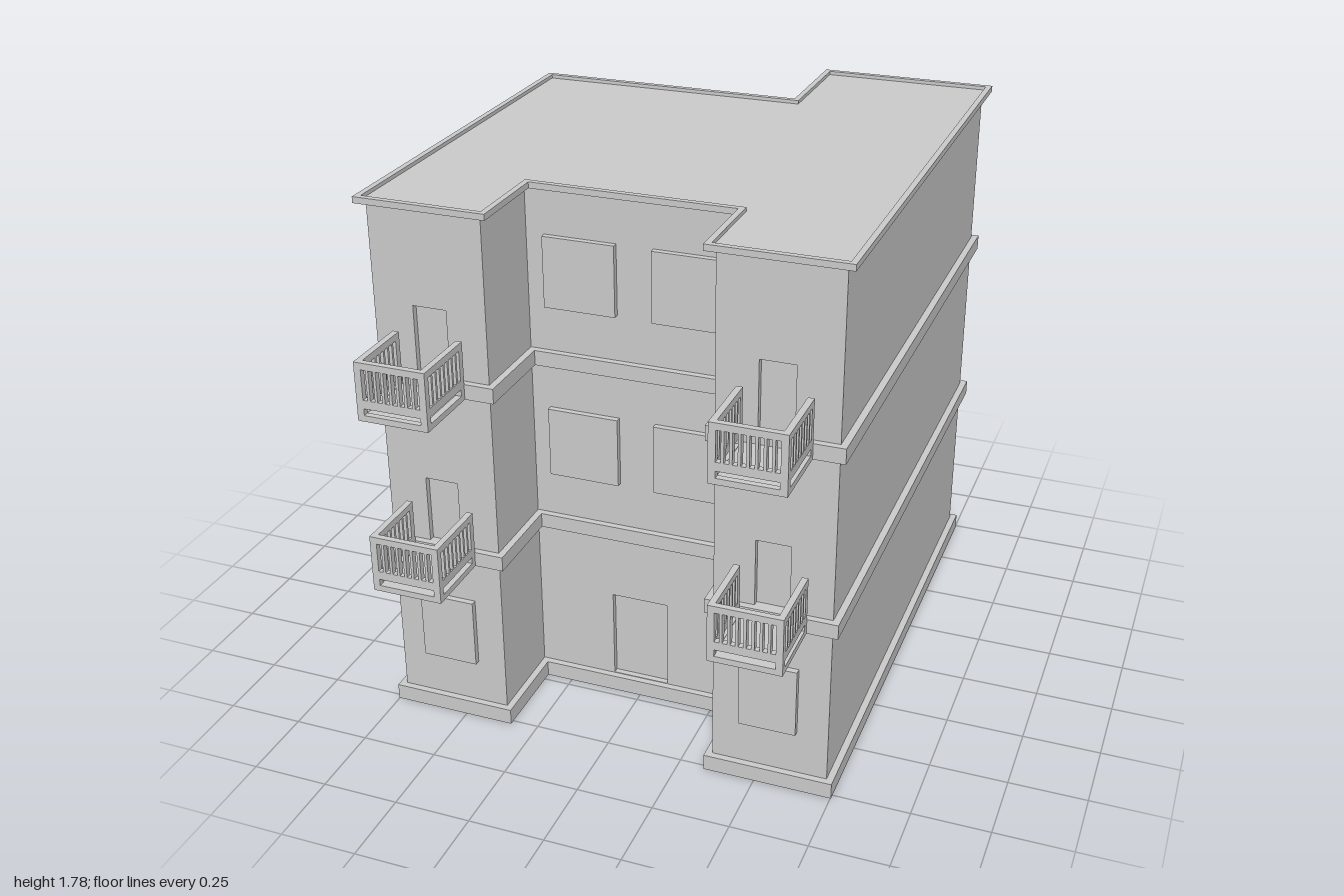
import * as THREE from 'three';

const mat = new THREE.MeshStandardMaterial({ color: 0xcccccc, flatShading: true, side: THREE.DoubleSide });

// Building footprint as [x, z] corners, pushed outwards by d
const outline = (d) => [
  [-0.73 - d, 0.745 + d], [-0.36 + d, 0.745 + d], [-0.36 + d, 0.45 + d],
  [0.355 - d, 0.45 + d], [0.355 - d, 0.745 + d], [0.73 + d, 0.745 + d],
  [0.73 + d, -0.97 - d], [0.185 - d, -0.97 - d], [0.185 - d, -0.585 - d], [-0.73 - d, -0.585 - d],
];

const toPoints = (d) => outline(d).map(([x, z]) => new THREE.Vector2(x, -z));

function add(parent, name, geometry, x = 0, y = 0, z = 0) {
  const mesh = new THREE.Mesh(geometry, mat);
  mesh.name = name;
  mesh.position.set(x, y, z);
  parent.add(mesh);
  return mesh;
}

function rect(x0, y0, x1, y1, Type = THREE.Shape) {
  return new Type([[x0, y0], [x1, y0], [x1, y1], [x0, y1]].map(([x, y]) => new THREE.Vector2(x, y)));
}

const extrude = (shape, depth) => new THREE.ExtrudeGeometry(shape, { depth, bevelEnabled: false });

// Horizontal slab following the footprint, hollow when an inner offset is given
function footprint(parent, name, y0, y1, outer, inner) {
  const shape = new THREE.Shape(toPoints(outer));
  if (inner !== undefined) shape.holes.push(new THREE.Path(toPoints(inner)));
  add(parent, name, extrude(shape, y1 - y0).rotateX(-Math.PI / 2), 0, y0, 0);
}

// Railing panel, lower corner at the origin: upright slots above one long slot
function railPanel(width) {
  const shape = rect(0, 0, width, 0.19);
  const edge = 0.022, count = 8, gap = 0.009;
  const slot = (width - 2 * edge - gap * (count - 1)) / count;
  shape.holes.push(rect(edge, 0.02, width - edge, 0.042, THREE.Path));
  for (let i = 0; i < count; i++) {
    const x = edge + i * (slot + gap);
    shape.holes.push(rect(x, 0.07, x + slot, 0.168, THREE.Path));
  }
  return extrude(shape, 0.02);
}

function balcony(parent, cx, y) {
  const g = new THREE.Group();
  g.name = 'balcony';
  g.position.set(cx, y, 0.765);
  const w = 0.23, depth = 0.235;
  add(g, 'balconyFloor', new THREE.BoxGeometry(w - 0.04, 0.018, depth - 0.02), 0, 0.009, (depth - 0.02) / 2);
  add(g, 'frontRailing', railPanel(w), -w / 2, 0, depth - 0.02);
  for (const x of [-w / 2, w / 2 - 0.02]) {
    add(g, 'sideRailing', railPanel(depth), x, 0, depth).rotation.y = Math.PI / 2;
  }
  parent.add(g);
}

// Door set back behind the wall: reveal around a flat leaf
function door(parent, [x0, y0, x1, y1], z) {
  const depth = 0.02, w = x1 - x0, h = y1 - y0, cx = (x0 + x1) / 2, cy = (y0 + y1) / 2;
  const g = new THREE.Group();
  g.name = 'door';
  g.position.set(cx, cy, z - depth);
  add(g, 'doorLeaf', new THREE.PlaneGeometry(w, h));
  for (const s of [-1, 1]) {
    add(g, 'doorJamb', new THREE.PlaneGeometry(depth, h), s * w / 2, 0, depth / 2).rotation.y = Math.PI / 2;
    add(g, 'doorHead', new THREE.PlaneGeometry(w, depth), 0, s * h / 2, depth / 2).rotation.x = Math.PI / 2;
  }
  parent.add(g);
}

function windowPanel(parent, x0, y0, x1, y1, z) {
  add(parent, 'window', new THREE.BoxGeometry(x1 - x0, y1 - y0, 0.02), (x0 + x1) / 2, (y0 + y1) / 2, z + 0.01);
}

export function createModel() {
  const model = new THREE.Group();
  model.name = 'apartmentBuilding';

  // Door openings per wall: [x0, y0, x1, y1]
  const doors = {
    0: [[-0.6, 0.635, -0.49, 0.86], [-0.6, 1.222, -0.49, 1.445]],
    2: [[-0.1, 0.055, 0.09, 0.363]],
    4: [[0.485, 0.635, 0.595, 0.86], [0.485, 1.222, 0.595, 1.445]],
  };

  // Walls, one thin panel per side of the footprint
  const corners = outline(0);
  corners.forEach(([ax, az], i) => {
    const [bx, bz] = corners[(i + 1) % corners.length];
    const shape = rect(0, 0, Math.hypot(bx - ax, bz - az), 1.76);
    for (const d of doors[i] ?? []) {
      shape.holes.push(rect(d[0] - ax, d[1], d[2] - ax, d[3], THREE.Path));
      door(model, d, az);
    }
    add(model, 'wall', new THREE.ShapeGeometry(shape), ax, 0, az).rotation.y = Math.atan2(az - bz, bx - ax);
  });

  // Plinth, floor bands and roof with its raised rim
  footprint(model, 'plinth', 0, 0.053, 0.022, 0);
  footprint(model, 'floorBand', 0.587, 0.636, 0.022, 0);
  footprint(model, 'floorBand', 1.172, 1.222, 0.022, 0);
  footprint(model, 'roof', 1.757, 1.765, 0.009);
  footprint(model, 'roofRim', 1.757, 1.777, 0.028, 0.009);

  // Windows: one on each wing at ground level, two per upper floor in the recess
  windowPanel(model, -0.64, 0.205, -0.455, 0.437, 0.745);
  windowPanel(model, 0.445, 0.205, 0.63, 0.437, 0.745);
  for (const y of [0.79, 1.373]) {
    windowPanel(model, -0.3, y, -0.065, y + 0.233, 0.45);
    windowPanel(model, 0.055, y, 0.29, y + 0.233, 0.45);
  }

  // Balconies on both wings
  for (const y of [0.587, 1.172]) {
    balcony(model, -0.548, y);
    balcony(model, 0.54, y);
  }
  return model;
}
